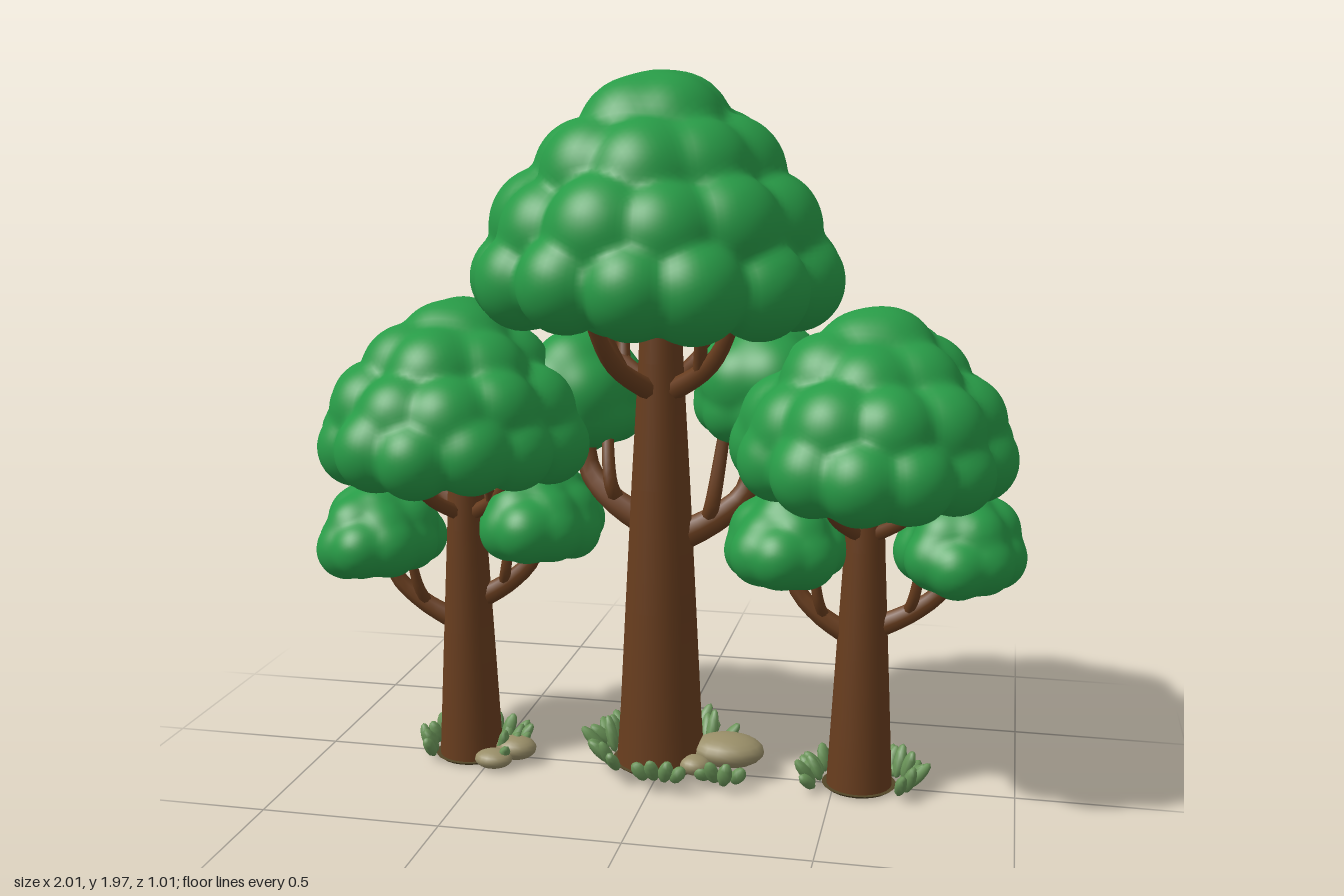
import * as THREE from 'three';
import { mergeGeometries, mergeVertices } from 'three/addons/utils/BufferGeometryUtils.js';

const mat = (name, color) => {
  const m = new THREE.MeshStandardMaterial({ color });
  m.name = name;
  return m;
};

export function createModel() {
  const leaf = mat('leaf green', 0x289b47);
  const bark = mat('bark brown', 0x683d1e);
  const soil = mat('soil brown', 0x524526);
  const grass = mat('grass green', 0x6a9458);
  const stone = mat('stone tan', 0x998e68);

  let seed = 11;
  const rnd = () => {
    seed = (seed * 16807) % 2147483647;
    return seed / 2147483647;
  };
  const jitter = (a) => (rnd() * 2 - 1) * a;

  const addMesh = (parent, name, geometries, material) => {
    const mesh = new THREE.Mesh(mergeGeometries(geometries), material);
    mesh.name = name;
    parent.add(mesh);
  };

  const stoneBall = (x, y, z, rx, ry, rz) =>
    new THREE.SphereGeometry(1, 18, 12).scale(rx, ry, rz).translate(x, y, z);

  // Leaf mass: a ball shrunk onto softly blended spheres arranged in rings.
  // Each ring is [height, x radius, z radius, sphere radius, count].
  const foliage = (parent, name, [cx, cy, cz], detail, rings) => {
    const blend = 0.008, balls = [];
    rings.forEach(([y, rx, rz, r, n], k) => {
      for (let i = 0; i < n; i++) {
        const a = Math.PI / 2 + ((i + (k % 2) * 0.5 + jitter(0.08)) / n) * Math.PI * 2;
        balls.push([Math.cos(a) * rx, y + jitter(0.012), Math.sin(a) * rz, r * (1 + jitter(0.05))]);
      }
    });
    const distance = (p) => {
      let sum = 0;
      for (const [x, y, z, r] of balls) sum += Math.exp((r - Math.hypot(p.x - x, p.y - y, p.z - z)) / blend);
      return -blend * Math.log(sum);
    };
    const [, rx, rz, r0] = rings[0];
    const stretch = new THREE.Vector3(rx + r0, (rx + r0) * 0.75, rz + r0);
    let geo = new THREE.IcosahedronGeometry(1, detail);
    geo.deleteAttribute('uv');
    geo.deleteAttribute('normal');
    geo = mergeVertices(geo, 1e-5);
    const pos = geo.attributes.position, dir = new THREE.Vector3(), p = new THREE.Vector3();
    for (let i = 0; i < pos.count; i++) {
      dir.fromBufferAttribute(pos, i).multiply(stretch).normalize();
      let t = 0.9;
      for (let s = 0; s < 40 && t > 0.03; s++) {
        const d = distance(p.copy(dir).multiplyScalar(t));
        if (d < 0.0005) break;
        t -= d;
      }
      p.copy(dir).multiplyScalar(Math.max(t, 0.03));
      pos.setXYZ(i, p.x, p.y, p.z);
    }
    geo.computeVertexNormals();
    addMesh(parent, name, [geo.translate(cx, cy, cz)], leaf);
  };

  // Small leaf clump with half sizes hx, hy, hz
  const clump = (parent, name, at, hx, hy, hz) => foliage(parent, name, at, 18, [
    [-hy * 0.3, hx - 0.083, hz - 0.083, 0.083, 9],
    [hy * 0.08, hx * 0.42, hz * 0.45, hy * 0.62, 6],
    [hy * 0.32, hx * 0.14, hz * 0.2, hy * 0.66, 3],
    [-hy * 0.25, 0, 0, hy * 0.65, 1],
  ]);

  // Tapered bent limb
  const limb = (points, r0, r1) => {
    const curve = new THREE.CatmullRomCurve3(points.map((p) => new THREE.Vector3(...p)));
    const seg = 12, rad = 8;
    const geo = new THREE.TubeGeometry(curve, seg, r0, rad);
    const pos = geo.attributes.position, v = new THREE.Vector3();
    for (let i = 0; i <= seg; i++) {
      const c = curve.getPointAt(i / seg);
      const f = THREE.MathUtils.lerp(1, r1 / r0, i / seg);
      for (let j = 0; j <= rad; j++) {
        const k = i * (rad + 1) + j;
        v.fromBufferAttribute(pos, k).sub(c).multiplyScalar(f).add(c);
        pos.setXYZ(k, v.x, v.y, v.z);
      }
    }
    return geo;
  };

  // Ring of four forking limbs that holds up a crown
  const crownLimbs = (x, y, reach, rise, r) => {
    const out = [];
    for (let i = 0; i < 4; i++) {
      const a = 0.55 + (i / 4) * Math.PI * 2, c = Math.cos(a), s = Math.sin(a);
      const at = (d, h, side = 0) => [x + c * d - s * side, y + h, s * d + c * side];
      out.push(limb([at(0, 0), at(reach * 0.65, rise * 0.4), at(reach, rise)], r, r * 0.55));
      out.push(limb([at(reach * 0.5, rise * 0.28), at(reach * 0.6, rise * 0.6, 0.03), at(reach * 0.65, rise * 1.1, 0.06)], r * 0.65, r * 0.4));
    }
    return out;
  };

  // Bent side branch with a small fork, rising to a clump; dx and dz point sideways
  const sideBranch = (x, y, dx, dz, top, r) => [
    limb([[x, y, 0], [x + dx * 0.6, y + 0.075, dz * 0.3], [x + dx * 0.92, y + 0.15, dz * 0.7], [x + dx, top, dz]], r, r * 0.5),
    limb([[x + dx * 0.5, y + 0.06, dz * 0.3], [x + dx * 0.58, y + 0.12, dz * 0.3 + 0.03], [x + dx * 0.7, top, dz + 0.05]], r * 0.5, r * 0.35),
  ];

  // Trunk with a thin soil disc under it
  const trunk = (parent, x, profile) => {
    const pts = profile.map(([r, y]) => new THREE.Vector2(r, y));
    const [r, y] = profile[0];
    addMesh(parent, 'trunk', [new THREE.LatheGeometry(pts, 24).translate(x, 0, 0)], bark);
    addMesh(parent, 'soilDisc', [new THREE.CylinderGeometry(r + 0.012, r, 0.009, 24).translate(x, y, 0)], soil);
  };

  // Tufts of fat rounded blades leaning outward; each tuft is [degrees, size]
  const grassRing = (parent, x, y, radius, tufts) => {
    const parts = [];
    for (const [deg, size] of tufts) {
      const a = THREE.MathUtils.degToRad(deg);
      for (let i = -1.5; i <= 1.5; i++) {
        const h = size * (1.05 - Math.abs(i) * 0.16 + jitter(0.12));
        const g = new THREE.SphereGeometry(1, 8, 6).scale(0.021, h / 2, 0.017).translate(0, h * 0.4, 0);
        g.rotateZ(-i * 0.4).rotateX(0.2 + rnd() * 0.6).translate(i * 0.026, 0, jitter(0.02));
        g.rotateY(Math.PI / 2 - a);
        parts.push(g.translate(x + Math.cos(a) * radius, y, Math.sin(a) * radius));
      }
    }
    addMesh(parent, 'grassTufts', parts, grass);
  };

  const model = new THREE.Group();
  model.name = 'treeGroup';

  // Tall middle tree
  const tall = new THREE.Group();
  tall.name = 'tallTree';
  model.add(tall);
  trunk(tall, 0, [[0.126, 0.04], [0.115, 0.2], [0.1, 0.5], [0.082, 0.85], [0.062, 1.2], [0.05, 1.5]]);
  addMesh(tall, 'branches', [
    ...sideBranch(0, 0.68, 0.25, -0.1, 1.03, 0.046),
    ...sideBranch(0, 0.72, -0.25, -0.14, 1.03, 0.046),
    ...crownLimbs(0, 1.1, 0.29, 0.29, 0.032),
  ], bark);
  foliage(tall, 'tallCrown', [-0.01, 1.47, 0], 30, [
    [-0.035, 0.38, 0.38, 0.13, 13],
    [0.09, 0.3, 0.3, 0.155, 11],
    [0.24, 0.19, 0.19, 0.155, 8],
    [0.34, 0.06, 0.07, 0.155, 4],
    [0.37, 0, 0, 0.14, 1],
    [-0.04, 0.21, 0.21, 0.125, 8],
    [-0.03, 0, 0, 0.14, 1],
  ]);
  clump(tall, 'lowerClumpLeft', [0.27, 1.12, -0.14], 0.2, 0.19, 0.2);
  clump(tall, 'lowerClumpRight', [-0.28, 1.07, -0.18], 0.2, 0.19, 0.2);
  grassRing(tall, 0, 0.05, 0.16, [[80, 0.08], [150, 0.1], [185, 0.125], [215, 0.1], [250, 0.1], [290, 0.12], [330, 0.12]]);
  grassRing(tall, 0.19, 0.035, 0.11, [[90, 0.075]]);
  addMesh(tall, 'stones', [
    stoneBall(0.195, 0.085, 0, 0.105, 0.046, 0.08),
    stoneBall(0.115, 0.065, 0.08, 0.045, 0.028, 0.04),
  ], stone);

  // Two shorter trees; the outer and inner clumps differ slightly in height
  const sides = [
    { name: 'shortTreeLeft', s: 1, outer: 0.75, inner: 0.725, outerFork: 0.46, innerFork: 0.43 },
    { name: 'shortTreeRight', s: -1, outer: 0.69, inner: 0.755, outerFork: 0.4, innerFork: 0.47 },
  ];
  for (const { name, s, outer, inner, outerFork, innerFork } of sides) {
    const tree = new THREE.Group();
    tree.name = name;
    model.add(tree);
    const x = 0.57 * s;
    trunk(tree, x, [[0.092, 0.015], [0.085, 0.15], [0.072, 0.4], [0.056, 0.7], [0.042, 1.05]]);
    addMesh(tree, 'branches', [
      ...sideBranch(x, outerFork, 0.24 * s, 0, outer, 0.034),
      ...sideBranch(x, innerFork, -0.21 * s, -0.03, inner, 0.034),
      ...crownLimbs(x, 0.73, 0.22, 0.22, 0.024),
    ], bark);
    foliage(tree, 'shortCrown', [x + 0.015 * s, 1.01, 0], 26, [
      [-0.035, 0.275, 0.355, 0.11, 13],
      [0.055, 0.23, 0.285, 0.125, 11],
      [0.15, 0.13, 0.17, 0.135, 7],
      [0.21, 0.03, 0.05, 0.135, 3],
      [-0.04, 0.14, 0.19, 0.1, 8],
      [-0.02, 0, 0, 0.12, 1],
    ]);
    clump(tree, 'outerClump', [x + 0.255 * s, outer, 0], 0.178, 0.138, 0.24);
    clump(tree, 'innerClump', [x - 0.215 * s, inner, -0.03], 0.178, 0.138, 0.23);
    grassRing(tree, x, 0.025, 0.12, [[10, 0.1], [170, 0.09], [205, 0.08], [255, 0.08], [300, 0.09], [335, 0.11]]);
  }

  // Stones beside the right-hand short tree
  addMesh(model, 'smallStones', [
    stoneBall(-0.425, 0.052, 0.03, 0.06, 0.034, 0.05),
    stoneBall(-0.475, 0.038, 0.09, 0.055, 0.027, 0.045),
  ], stone);

  return model;
}
